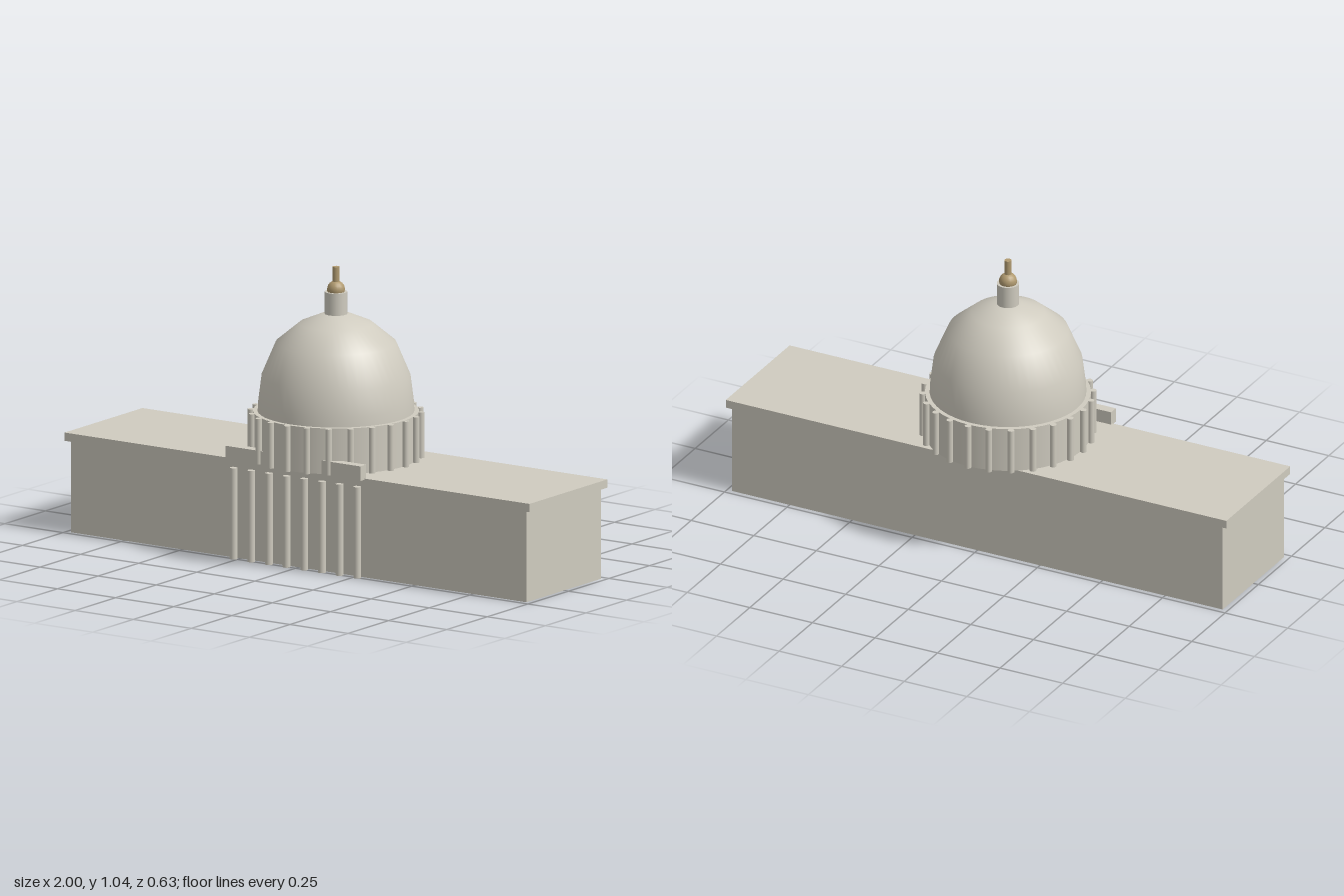
import * as THREE from 'three';

export function createModel() {
  const model = new THREE.Group();
  model.name = 'domedBuilding';

  const stone = new THREE.MeshStandardMaterial({ color: 0xcfcbbf });
  stone.name = 'pale stone';
  const bronze = new THREE.MeshStandardMaterial({ color: 0xb09a70 });
  bronze.name = 'bronze';

  const add = (name, geometry, material, x, y, z, parent = model) => {
    const mesh = new THREE.Mesh(geometry, material);
    mesh.name = name;
    mesh.position.set(x, y, z);
    parent.add(mesh);
    return mesh;
  };
  const box = (w, h, d) => new THREE.BoxGeometry(w, h, d);
  const cylinder = (r, h, sides) => new THREE.CylinderGeometry(r, r, h, sides);

  // Long main block and overhanging roof slab
  add('mainBlock', box(1.96, 0.33, 0.46), stone, 0, 0.165, 0);
  add('roofSlab', box(2, 0.03, 0.48), stone, 0, 0.345, 0);

  // Front portico: eight columns below a lintel
  const portico = new THREE.Group();
  portico.name = 'portico';
  model.add(portico);
  const porticoColumn = cylinder(0.014, 0.33, 12);
  for (let i = 0; i < 8; i++) {
    add('porticoColumn', porticoColumn, stone, -0.266 + i * 0.076, 0.165, 0.25, portico);
  }
  add('lintel', box(0.58, 0.053, 0.036), stone, 0, 0.382, 0.247, portico);

  // Round drum ringed by columns
  add('drum', cylinder(0.293, 0.165, 48), stone, 0, 0.4425, 0);
  const colonnade = new THREE.Group();
  colonnade.name = 'drumColonnade';
  model.add(colonnade);
  const drumColumn = cylinder(0.012, 0.165, 10);
  for (let i = 0; i < 24; i++) {
    const a = (i / 24) * Math.PI * 2;
    add('drumColumn', drumColumn, stone, 0.301 * Math.sin(a), 0.4425, 0.301 * Math.cos(a), colonnade);
  }

  // Dome turned from a faceted profile
  const profile = [
    [0.277, 0.52], [0.275, 0.56], [0.263, 0.654], [0.213, 0.772],
    [0.13, 0.841], [0.05, 0.875], [0, 0.876],
  ].map(([r, y]) => new THREE.Vector2(r, y));
  add('dome', new THREE.LatheGeometry(profile, 48), stone, 0, 0, 0);

  // Lantern, ball and finial
  add('lantern', cylinder(0.04, 0.085, 20), stone, 0, 0.9125, 0);
  add('ball', new THREE.SphereGeometry(0.032, 16, 12), bronze, 0, 0.963, 0);
  add('finial', cylinder(0.013, 0.06, 12), bronze, 0, 1.015, 0);

  return model;
}
